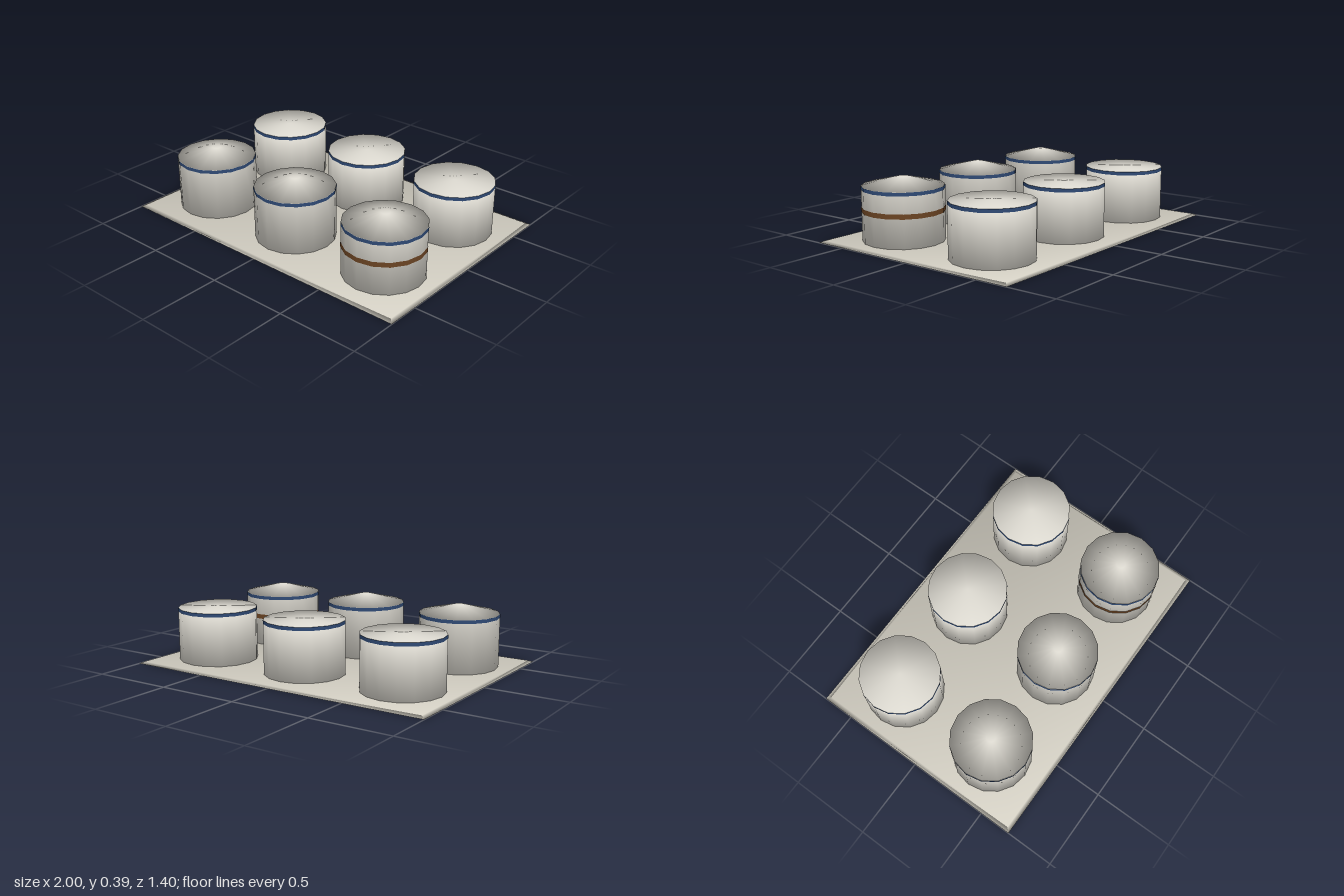
import * as THREE from 'three';

const R = 0.243, WALL_TOP = 0.338, ROOF_TOP = 0.39, SIDES = 16;

function material(name, color) {
  const m = new THREE.MeshStandardMaterial({ color });
  m.name = name;
  return m;
}

// Surface of revolution from [radius, height] pairs, listed bottom to top
function lathe(name, points, mat) {
  const profile = points.map(([r, y]) => new THREE.Vector2(r, y));
  const mesh = new THREE.Mesh(new THREE.LatheGeometry(profile, SIDES), mat);
  mesh.name = name;
  return mesh;
}

// Thin painted ring just outside the wall
function stripe(name, y0, y1, mat) {
  return lathe(name, [[R + 0.0015, y0], [R + 0.0015, y1]], mat);
}

// Thin slab with sloping edges and softly rounded shading
function slab(mat) {
  const geo = new THREE.BoxGeometry(2, 0.011, 1.4);
  const pos = geo.attributes.position;
  const n = new THREE.Vector3();
  for (let i = 0; i < pos.count; i++) {
    const sx = Math.sign(pos.getX(i)), sy = Math.sign(pos.getY(i)), sz = Math.sign(pos.getZ(i));
    if (sy > 0) pos.setXYZ(i, sx * 0.975, pos.getY(i), sz * 0.675);
    n.set(sx * 0.5, sy, sz * 0.5).normalize();
    geo.attributes.normal.setXYZ(i, n.x, n.y, n.z);
  }
  const mesh = new THREE.Mesh(geo, mat);
  mesh.name = 'groundSlab';
  mesh.position.y = 0.0065;
  return mesh;
}

export function createModel() {
  const white = material('tank off-white', 0xdedbd2);
  const concrete = material('slab concrete', 0xd2cec2);
  const blue = material('rim blue', 0x2f4a75);
  const brown = material('stripe brown', 0x6b4423);

  const model = new THREE.Group();
  model.name = 'tankFarm';
  model.add(slab(concrete));

  for (const z of [-0.335, 0.335]) {
    for (const x of [-0.665, 0, 0.665]) {
      const tank = new THREE.Group();
      const coned = z > 0;
      tank.name = coned ? 'coneRoofTank' : 'flatRoofTank';
      tank.position.set(x, 0, z);

      // Body with floor; the back row is closed by a flat lid
      const body = [[0, 0], [R, 0], [R, WALL_TOP]];
      if (!coned) body.push([0, WALL_TOP]);
      tank.add(lathe('tankBody', body, white));
      tank.add(stripe('rimBand', 0.317, WALL_TOP, blue));

      // Shallow cone roof with a small flat top
      if (coned) {
        tank.add(lathe('coneRoof',
          [[0, WALL_TOP], [R, WALL_TOP], [0.027, ROOF_TOP], [0, ROOF_TOP]], white));
      }
      // One tank carries a stripe round its middle
      if (coned && x > 0) tank.add(stripe('middleStripe', 0.185, 0.214, brown));
      model.add(tank);
    }
  }
  return model;
}
